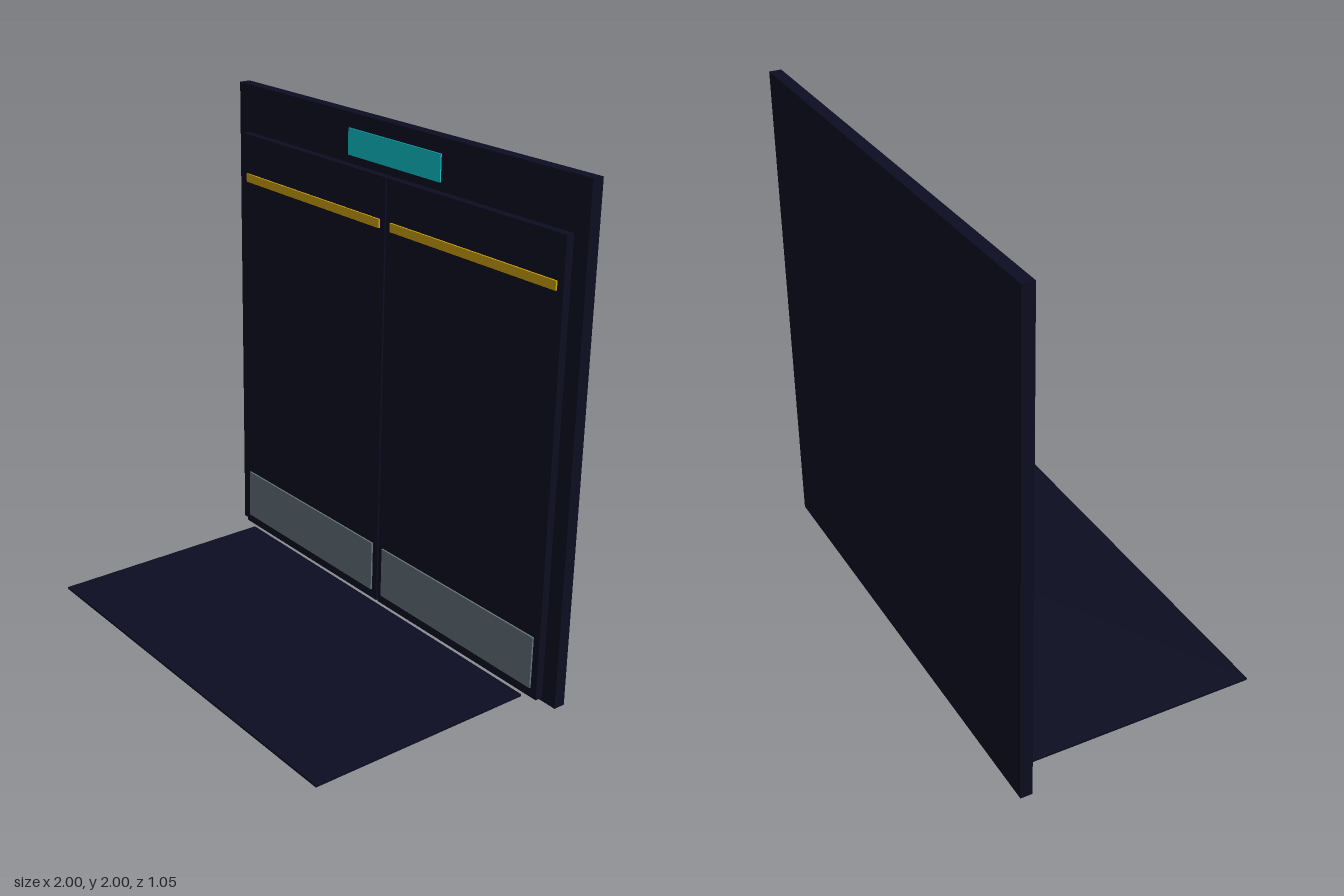
import * as THREE from 'three';

export function createModel() {
  const group = new THREE.Group();
  group.name = 'slidingDoors';

  const material = (name, color) => {
    const m = new THREE.MeshStandardMaterial({ color });
    m.name = name;
    return m;
  };
  const navy = material('dark navy', 0x0c0d21);
  const cyan = material('cyan', 0x0dc7d1);
  const gold = material('gold', 0xd2a40d);
  const grey = material('steel grey', 0x68747d);

  // Box given by its lower and upper limits on each axis
  const box = (name, mat, [x0, x1], [y0, y1], [z0, z1]) => {
    const mesh = new THREE.Mesh(new THREE.BoxGeometry(x1 - x0, y1 - y0, z1 - z0), mat);
    mesh.position.set((x0 + x1) / 2, (y0 + y1) / 2, (z0 + z1) / 2);
    mesh.name = name;
    group.add(mesh);
  };

  const doorFront = -0.445;
  const plate = [doorFront, -0.438];

  // Backing panel with the sign plate above the doors
  box('backPanel', navy, [-1, 1], [0, 2], [-0.525, -0.477]);
  box('signPlate', cyan, [-0.267, 0.267], [1.835, 1.94], [-0.477, -0.472]);

  // Mirrored door leaves, each with a stripe and a kick plate
  for (const side of [-1, 1]) {
    const prefix = side > 0 ? 'left' : 'right';
    const span = (a, b) => (side > 0 ? [a, b] : [-b, -a]);
    box(prefix + 'Door', navy, span(0.004, 0.933), [0.014, 1.802], [-0.477, doorFront]);
    box(prefix + 'Stripe', gold, span(0.032, 0.903), [1.602, 1.637], plate);
    box(prefix + 'KickPlate', grey, span(0.032, 0.903), [0.054, 0.268], plate);
  }

  // Floor mat in front of the doors
  box('floorMat', navy, [-0.865, 0.865], [0, 0.009], [-0.437, 0.525]);

  return group;
}
